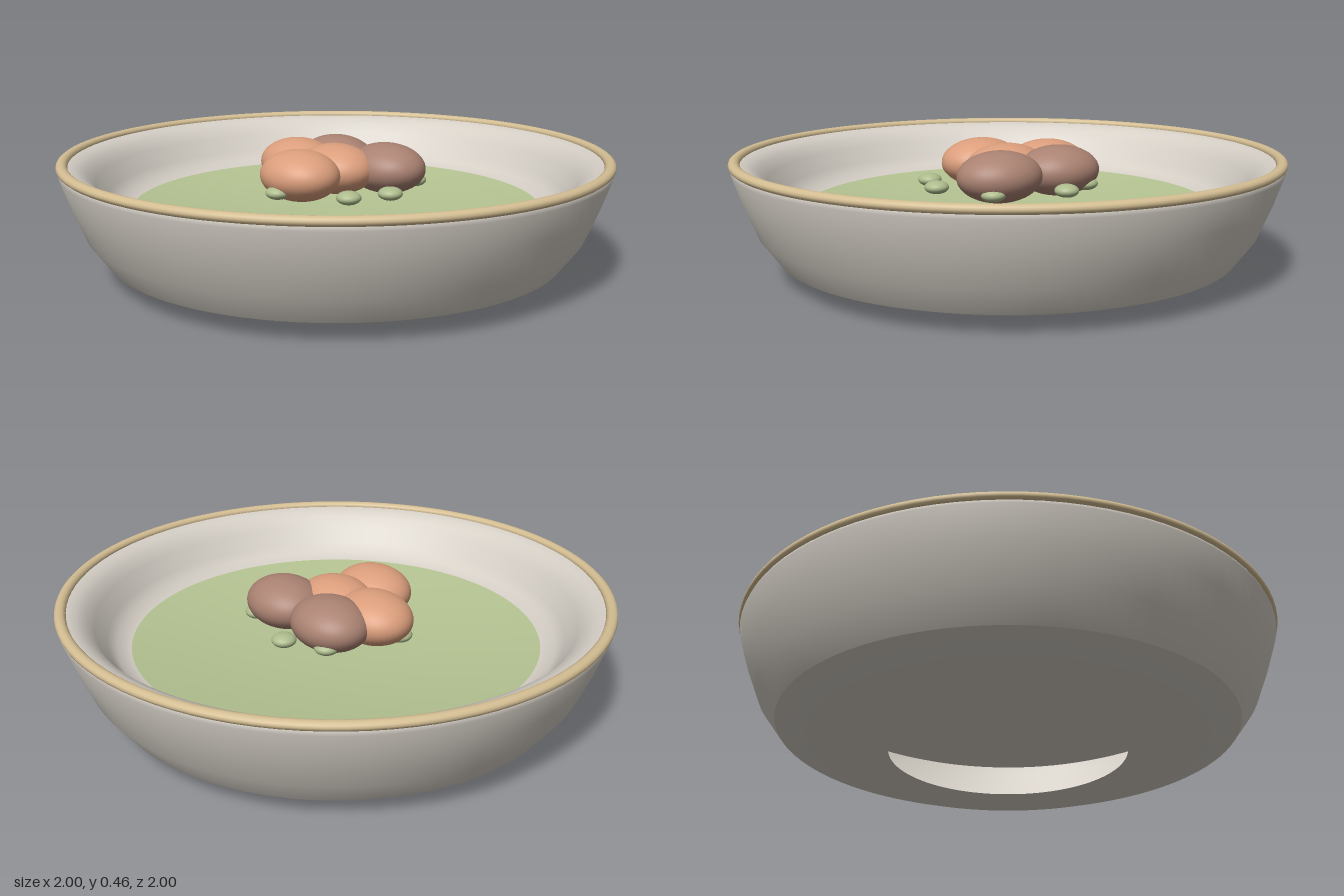
import * as THREE from 'three';

function material(name, color, side = THREE.FrontSide) {
  const m = new THREE.MeshStandardMaterial({ color, side });
  m.name = name;
  return m;
}

export function createModel() {
  const group = new THREE.Group();
  group.name = 'soupBowl';
  const stoneware = material('stoneware', 0xd6d0c7, THREE.DoubleSide);
  const glaze = material('tan glaze', 0xd3bd92);
  const broth = material('green broth', 0xb4c392, THREE.DoubleSide);
  const peaGreen = material('pea green', 0xadbb8c);
  const pale = material('pale dumpling', 0xdb9e7c);
  const dark = material('brown dumpling', 0xaa8272);

  const add = (name, geometry, mat, x = 0, y = 0, z = 0) => {
    const mesh = new THREE.Mesh(geometry, mat);
    mesh.name = name;
    mesh.position.set(x, y, z);
    group.add(mesh);
    return mesh;
  };
  const lathe = (pts) =>
    new THREE.LatheGeometry(pts.map(([x, y]) => new THREE.Vector2(x, y)), 96);
  // Shallow dish curve shared by the soup and the floor below it
  const dish = (drop) =>
    [0.75, 0.6, 0.45, 0.3, 0.15, 0].map((r) => [r, 0.18 - drop + 0.06 * (r / 0.75) ** 2]);

  // Underside with an open foot, meeting the wall at a crisp edge
  add('underside', lathe([[0.435, 0], [0.7, 0.019], [0.84, 0.069]]), stoneware);

  // Outer wall, sloping lip, inner wall and dished floor
  add('bowl', lathe([
    [0.84, 0.069], [0.91, 0.165], [0.96, 0.29], [0.993, 0.39], [0.985, 0.412],
    [0.96, 0.415], [0.93, 0.404], [0.9, 0.388], [0.87, 0.352], [0.83, 0.292],
    [0.8, 0.257], ...dish(0.004),
  ]), stoneware);

  // Glazed rim, slightly flattened
  const rim = add('rim', new THREE.TorusGeometry(0.98, 0.02, 12, 96), glaze, 0, 0.417, 0);
  rim.rotation.x = Math.PI / 2;
  rim.scale.z = 0.8;

  // Soup
  add('soup', lathe(dish(0)), broth);

  // Pile of dumplings
  const ball = new THREE.SphereGeometry(1, 40, 28);
  [
    [-0.14, -0.125, dark], [0.115, -0.147, dark],
    [-0.185, 0.03, pale], [0.015, 0.183, pale], [0.005, 0.005, pale],
  ].forEach(([x, z, mat], i) => {
    add('dumpling' + (i + 1), ball, mat, x, 0.364, z).scale.set(0.158, 0.092, 0.134);
  });

  // Flattened peas in a ring around the pile
  [0, 32, 85, 165, 222, 254, 309].forEach((deg, i) => {
    const a = THREE.MathUtils.degToRad(deg);
    add('pea' + (i + 1), ball, peaGreen, 0.292 * Math.cos(a), 0.318, 0.292 * Math.sin(a))
      .scale.set(0.044, 0.024, 0.044);
  });

  return group;
}
